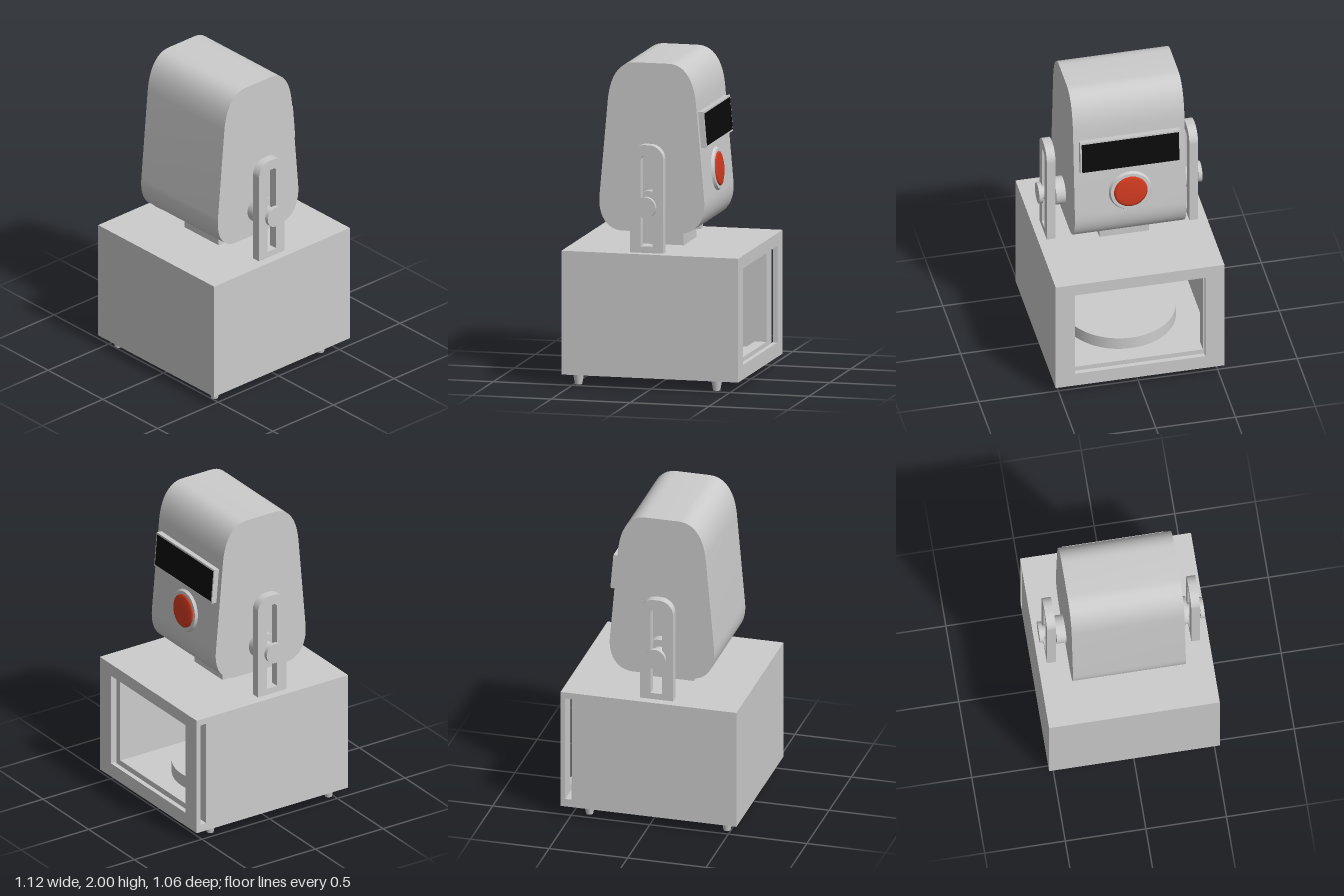
import * as THREE from 'three';
import { toCreasedNormals } from 'three/addons/utils/BufferGeometryUtils.js';

const grey = new THREE.MeshStandardMaterial({ color: 0xcccccc });
const black = new THREE.MeshStandardMaterial({ color: 0x0a0a0a });
const red = new THREE.MeshStandardMaterial({ color: 0xd03a20 });

const AXIS = -0.035; // x of the head, hinge and turntables
const TILT = 0.0865; // lean of the head's sides

function add(parent, name, geometry, material = grey) {
  const mesh = new THREE.Mesh(geometry, material);
  mesh.name = name;
  parent.add(mesh);
  return mesh;
}

// Box given by its limits on each axis
function boxBetween(x0, x1, y0, y1, z0, z1) {
  return new THREE.BoxGeometry(x1 - x0, y1 - y0, z1 - z0)
    .translate((x0 + x1) / 2, (y0 + y1) / 2, (z0 + z1) / 2);
}

// Outline extruded along z from z0 to z1, smooth on its curves
function slab(shape, z0, z1) {
  const g = new THREE.ExtrudeGeometry(shape, { depth: z1 - z0, bevelEnabled: false, curveSegments: 14 });
  return toCreasedNormals(g.translate(0, 0, z0), 0.5);
}

function rectPath(path, x0, x1, y0, y1) {
  path.moveTo(x0, y0);
  path.lineTo(x1, y0);
  path.lineTo(x1, y1);
  path.lineTo(x0, y1);
  path.closePath();
  return path;
}

// One layer of the cabinet: a rectangular ring in the yz plane between two x values
function ring(x0, x1, halfZ, y0, y1) {
  const shape = rectPath(new THREE.Shape(), -0.53, 0.53, 0.07, 0.84);
  shape.holes.push(rectPath(new THREE.Path(), -halfZ, halfZ, y0, y1));
  return slab(shape, x0, x1).rotateY(Math.PI / 2);
}

function buildCabinet() {
  const g = new THREE.Group();
  g.name = 'cabinet';
  add(g, 'backWall', boxBetween(-0.56, -0.52, 0.07, 0.84, -0.53, 0.53));
  add(g, 'chamberWalls', ring(-0.52, 0.415, 0.49, 0.11, 0.8));
  add(g, 'innerFrame', ring(0.415, 0.49, 0.41, 0.16, 0.76));
  // door groove, open through the -z side as a slot
  add(g, 'grooveTop', boxBetween(0.49, 0.53, 0.8, 0.84, -0.53, 0.53));
  add(g, 'grooveBottom', boxBetween(0.49, 0.53, 0.07, 0.12, -0.53, 0.53));
  add(g, 'grooveEnd', boxBetween(0.49, 0.53, 0.12, 0.8, 0.45, 0.53));
  add(g, 'outerFrame', ring(0.53, 0.56, 0.41, 0.16, 0.76));

  // turntables on floor and ceiling
  for (const [name, y0, y1] of [['lowerTurntable', 0.11, 0.19], ['upperTurntable', 0.66, 0.8]]) {
    add(g, name, new THREE.CylinderGeometry(0.35, 0.35, y1 - y0, 64)).position.set(AXIS, (y0 + y1) / 2, 0);
  }
  for (const x of [-0.475, 0.4]) {
    for (const z of [-0.44, 0.44]) {
      add(g, 'foot', new THREE.CylinderGeometry(0.035, 0.022, 0.07, 24)).position.set(x, 0.035, z);
    }
  }
  return g;
}

function buildHead() {
  const g = new THREE.Group();
  g.name = 'head';
  // tapered rounded profile, symmetric about x = 0
  const s = new THREE.Shape();
  s.moveTo(-0.185, 0.95);
  s.lineTo(0.185, 0.95);
  s.bezierCurveTo(0.285, 0.95, 0.344, 1.04, 0.331, 1.17);
  s.lineTo(0.279, 1.76);
  s.bezierCurveTo(0.265, 1.91, 0.205, 2, 0.105, 2);
  s.lineTo(-0.105, 2);
  s.bezierCurveTo(-0.205, 2, -0.265, 1.91, -0.279, 1.76);
  s.lineTo(-0.331, 1.17);
  s.bezierCurveTo(-0.344, 1.04, -0.285, 0.95, -0.185, 0.95);
  add(g, 'headBody', slab(s, -0.35, 0.35)).position.x = AXIS;
  add(g, 'neck', boxBetween(AXIS - 0.15, AXIS + 0.15, 0.82, 0.98, -0.155, 0.155));

  // display on the sloping face
  const display = new THREE.Group();
  display.name = 'display';
  display.position.set(0.26, 1.59, 0);
  display.rotation.z = TILT;
  add(display, 'displayBezel', boxBetween(-0.01, 0.034, -0.112, 0.112, -0.315, 0.315));
  add(display, 'displayScreen', boxBetween(0.02, 0.036, -0.1, 0.1, -0.305, 0.305), black);

  // push button: collar with a slightly domed cap
  const button = new THREE.Group();
  button.name = 'button';
  button.position.set(0.284, 1.3, 0);
  button.rotation.z = TILT - Math.PI / 2;
  add(button, 'buttonCollar', new THREE.CylinderGeometry(0.125, 0.14, 0.025, 48)).position.y = 0.004;
  const dome = [[0.105, 0], [0.105, 0.019], [0.09, 0.024], [0.05, 0.027], [0, 0.028]];
  add(button, 'buttonCap', new THREE.LatheGeometry(dome.map(([r, y]) => new THREE.Vector2(r, y)), 48), red);
  g.add(display, button);
  return g;
}

// Slotted bracket and pivot on the +z side
function buildHinge() {
  const g = new THREE.Group();
  g.name = 'hinge';
  const w = 0.105, top = 1.51, r = 0.09;
  const s = new THREE.Shape();
  s.moveTo(-w, 0.84);
  s.lineTo(w, 0.84);
  s.lineTo(w, top - r);
  s.absarc(w - r, top - r, r, 0, Math.PI / 2);
  s.absarc(-w + r, top - r, r, Math.PI / 2, Math.PI);
  s.closePath();
  const slot = new THREE.Path();
  slot.moveTo(-0.037, 0.88);
  slot.lineTo(0.037, 0.88);
  slot.absarc(0.012, 1.42, 0.025, 0, Math.PI / 2);
  slot.absarc(-0.012, 1.42, 0.025, Math.PI / 2, Math.PI);
  slot.closePath();
  s.holes.push(slot);
  add(g, 'bracket', slab(s, 0.42, 0.475));

  for (const [name, radius, z0, z1] of [['pivotBoss', 0.087, 0.34, 0.41], ['pivotShaft', 0.042, 0.4, 0.49], ['pivotKnob', 0.065, 0.487, 0.512]]) {
    const c = new THREE.CylinderGeometry(radius, radius, z1 - z0, 40).rotateX(Math.PI / 2);
    add(g, name, c).position.set(0, 1.127, (z0 + z1) / 2);
  }
  g.position.x = AXIS;
  return g;
}

export function createModel() {
  const model = new THREE.Group();
  model.name = 'tiltingHeadMachine';
  const leftHinge = buildHinge();
  const rightHinge = buildHinge();
  // turned about to the -z side; the hinge is symmetric about its axis
  rightHinge.rotation.y = Math.PI;
  model.add(buildCabinet(), buildHead(), leftHinge, rightHinge);
  return model;
}
